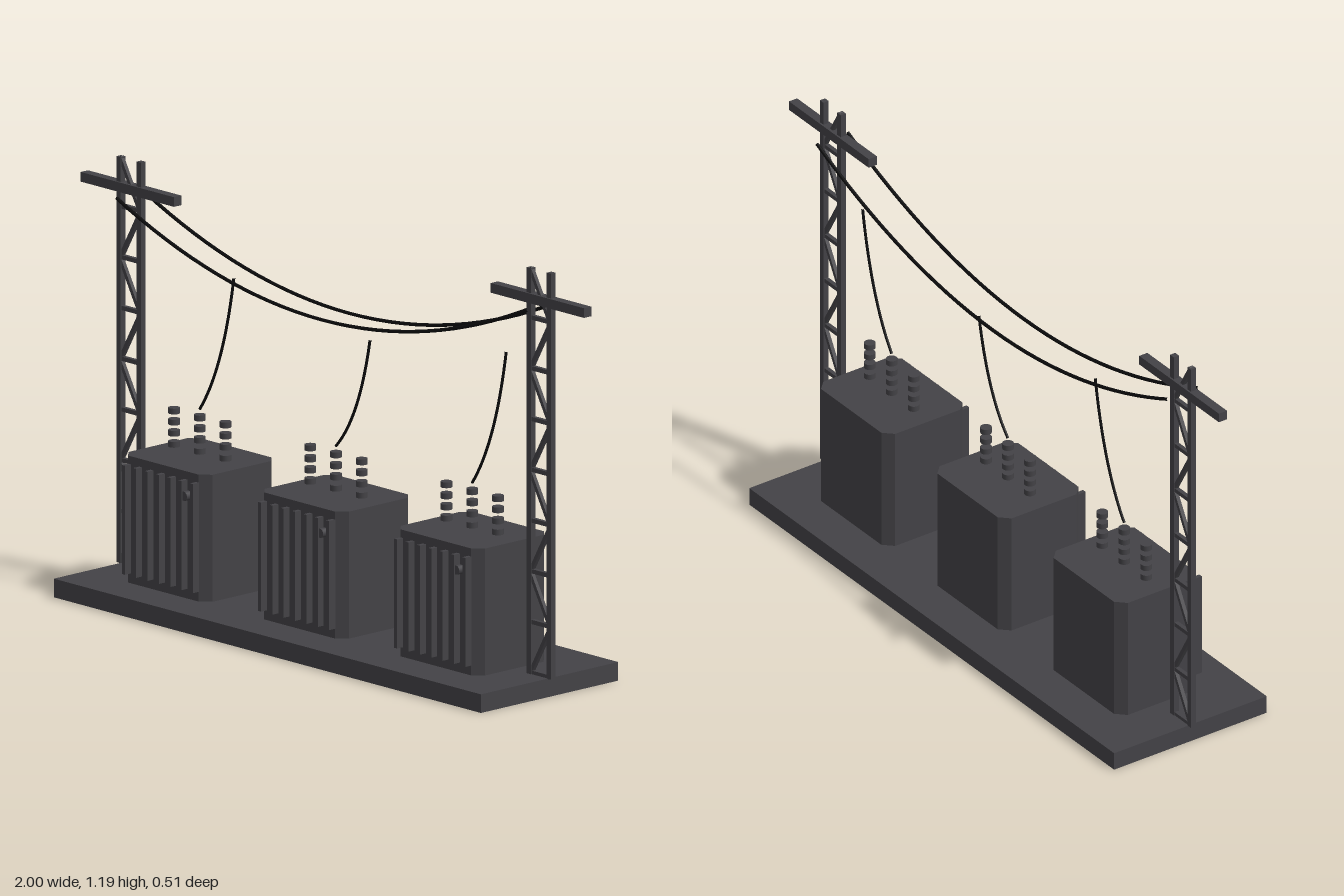
import * as THREE from 'three';

const steel = new THREE.MeshStandardMaterial({ color: 0x434246 });
steel.name = 'darkSteel';
const cableBlack = new THREE.MeshStandardMaterial({ color: 0x0c0c0d });
cableBlack.name = 'cableBlack';

const BASE_TOP = 0.052, TOWER_TOP = 1.187, TANK_TOP = 0.407;

function add(parent, name, geometry, material, x = 0, y = 0, z = 0) {
  const mesh = new THREE.Mesh(geometry, material);
  mesh.name = name;
  mesh.position.set(x, y, z);
  parent.add(mesh);
  return mesh;
}

const box = (w, h, d) => new THREE.BoxGeometry(w, h, d);

// Square bar between two points in the xy plane
function strut(parent, name, x1, y1, x2, y2, t) {
  const length = Math.hypot(x2 - x1, y2 - y1);
  const mesh = add(parent, name, box(length, t, t), steel, (x1 + x2) / 2, (y1 + y2) / 2);
  mesh.rotation.z = Math.atan2(y2 - y1, x2 - x1);
}

function cable(parent, name, points, radius) {
  const curve = new THREE.QuadraticBezierCurve3(...points.map(p => new THREE.Vector3(...p)));
  add(parent, name, new THREE.TubeGeometry(curve, 32, radius, 8), cableBlack);
}

// Tank outline with cut corners, extruded upwards
function tankGeometry() {
  const w = 0.167, d = 0.135, c = 0.027;
  const outline = new THREE.Shape([
    [w - c, -d], [w, -d + c], [w, d - c], [w - c, d],
    [-w + c, d], [-w, d - c], [-w, -d + c], [-w + c, -d],
  ].map(p => new THREE.Vector2(...p)));
  return new THREE.ExtrudeGeometry(outline, { depth: TANK_TOP - BASE_TOP, bevelEnabled: false })
    .rotateX(-Math.PI / 2);
}

function transformer(x) {
  const group = new THREE.Group();
  group.name = 'transformer';
  group.position.x = x;
  add(group, 'tank', tankGeometry(), steel, 0, BASE_TOP);
  // Cooling fins on the front
  for (let i = -3; i <= 3; i++) {
    add(group, 'coolingFin', box(0.012, 0.305, 0.024), steel, i * 0.045, 0.232, 0.145);
  }
  // Gauge between the fins
  const gauge = new THREE.CylinderGeometry(0.013, 0.013, 0.02, 16).rotateX(Math.PI / 2);
  add(group, 'gauge', gauge, steel, 0.1, 0.342, 0.143);
  // Three stacks of insulator discs
  for (const dx of [-0.102, 0, 0.102]) {
    for (let i = 0; i < 4; i++) {
      add(group, 'insulatorDisc', new THREE.CylinderGeometry(0.016, 0.016, 0.016, 16), steel,
        dx, 0.424 + i * 0.031);
    }
  }
  return group;
}

function tower(x) {
  const group = new THREE.Group();
  group.name = 'latticeTower';
  group.position.x = x;
  const half = 0.04, bays = 8, bay = (TOWER_TOP - BASE_TOP) / bays;
  for (const s of [-1, 1]) {
    add(group, 'post', box(0.017, TOWER_TOP - BASE_TOP, 0.017), steel,
      s * half, (TOWER_TOP + BASE_TOP) / 2);
  }
  // Rungs with zigzag braces
  for (let i = 0; i < bays; i++) {
    const y = BASE_TOP + i * bay, s = i % 2 ? 1 : -1;
    strut(group, 'rung', -half, y + 0.004, half, y + 0.004, 0.012);
    strut(group, 'brace', s * half, y, -s * half, y + bay, 0.011);
  }
  add(group, 'crossArm', box(0.37, 0.027, 0.027), steel, 0, 1.104);
  return group;
}

export function createModel() {
  const model = new THREE.Group();
  model.name = 'substation';
  add(model, 'base', box(1.694, BASE_TOP, 0.508), steel, 0, BASE_TOP / 2);
  for (const x of [-0.54, 0, 0.54]) model.add(transformer(x));
  for (const x of [-0.813, 0.813]) model.add(tower(x));

  // Sagging cables between the towers
  for (const z of [-0.051, 0.051]) {
    cable(model, 'mainCable', [[-0.815, 1.086, z], [0, 0.716, z], [0.815, 1.086, z]], 0.005);
  }
  // Drop cables above the middle insulators
  for (const [x, top] of [[-0.54, 0.932], [0, 0.862], [0.54, 0.932]]) {
    cable(model, 'dropCable',
      [[x, 0.54, 0], [x + 0.094, (0.54 + top) / 2 - 0.065, 0], [x + 0.135, top, 0]], 0.004);
  }
  return model;
}
